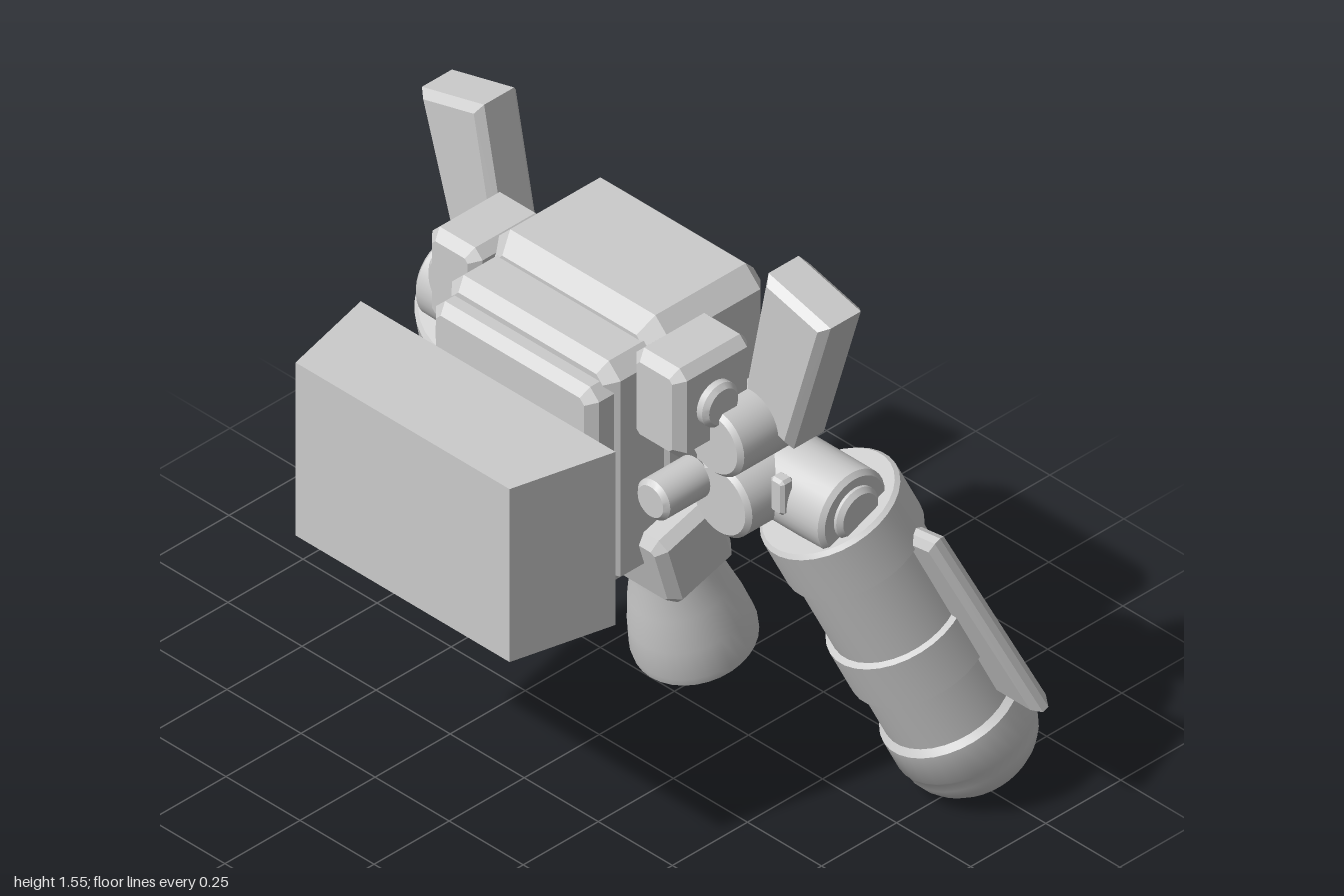
import * as THREE from 'three';
import { toCreasedNormals } from 'three/addons/utils/BufferGeometryUtils.js';

const grey = new THREE.MeshStandardMaterial({ color: 0xcccccc, side: THREE.DoubleSide });
grey.name = 'light grey';

// Extruded outline along z, centred, with a single chamfer kept inside the outline
function slab(points, depth, bevel) {
  const shape = new THREE.Shape(points.map(([x, y]) => new THREE.Vector2(x, y)));
  const g = new THREE.ExtrudeGeometry(shape, {
    depth: depth - 2 * bevel, bevelEnabled: bevel > 0, bevelSize: bevel,
    bevelThickness: bevel, bevelOffset: -bevel, bevelSegments: 1,
  });
  return g.translate(0, 0, -depth / 2 + bevel);
}

// Box with all edges chamfered
function block(w, h, d, b, c = b) {
  const x = w / 2, y = h / 2;
  return slab([[-x + c, -y], [x - c, -y], [x, -y + c], [x, y - c],
    [x - c, y], [-x + c, y], [-x, y - c], [-x, -y + c]], d, b);
}

function turned(profile, segments = 32) {
  const g = new THREE.LatheGeometry(profile.map(([r, y]) => new THREE.Vector2(r, y)), segments);
  return toCreasedNormals(g, 0.6);
}

// Cylinder with softened rims, centred, along the chosen axis
function drum(r, len, axis) {
  const b = Math.min(0.012, len / 4), h = len / 2;
  const g = turned([[0, -h], [r - b, -h], [r, -h + b], [r, h - b], [r - b, h], [0, h]]);
  if (axis === 'x') g.rotateZ(-Math.PI / 2);
  if (axis === 'z') g.rotateX(Math.PI / 2);
  return g;
}

// Mirror a geometry across x and restore its winding
function mirrored(source) {
  const g = source.index ? source.toNonIndexed() : source.clone();
  g.scale(-1, 1, 1);
  for (const attr of Object.values(g.attributes)) {
    const n = attr.itemSize, a = attr.array;
    for (let i = 0; i < attr.count; i += 3) {
      for (let k = 0; k < n; k++) {
        const p = (i + 1) * n + k, q = (i + 2) * n + k, t = a[p];
        a[p] = a[q];
        a[q] = t;
      }
    }
  }
  return g;
}

export function createModel() {
  const model = new THREE.Group();
  model.name = 'boosterPack';
  const add = (name, g) => {
    const mesh = new THREE.Mesh(g, grey);
    mesh.name = name;
    model.add(mesh);
  };
  const pair = (name, g) => {
    add(name + 'Left', g);
    add(name + 'Right', mirrored(g));
  };

  // Detached front block, narrower at the front
  const plate = new THREE.BoxGeometry(0.86, 0.505, 0.285).translate(0, 0.977, 0.5125);
  const pos = plate.attributes.position;
  for (let i = 0; i < pos.count; i++) if (pos.getZ(i) > 0.5) pos.setX(i, pos.getX(i) * 0.84);
  plate.computeVertexNormals();
  add('frontBlock', plate);

  // Main body and stepped front section
  add('body', block(0.59, 0.70, 0.39, 0.045, 0.05).translate(0, 1.025, -0.095));
  add('frontSection', block(0.57, 0.65, 0.22, 0.03, 0.04).translate(0, 0.995, 0.13));
  add('frontPanel', block(0.55, 0.60, 0.10, 0.025, 0.03).translate(0, 0.975, 0.247));

  // Rear disc, panel and its small pins
  add('rearDisc', drum(0.163, 0.08, 'z').translate(0, 1.105, -0.30));
  add('rearDiscCap', drum(0.115, 0.06, 'z').translate(0, 1.105, -0.346));
  add('rearPanel', slab([[-0.15, 0.73], [0.15, 0.73], [0.12, 1.0], [-0.12, 1.0]], 0.04, 0.01)
    .translate(0, 0, -0.29));
  for (const y of [0.76, 0.94]) pair('rearPin', drum(0.016, 0.05, 'z').translate(0.15, y, -0.295));

  // Shoulder blocks with round bosses
  pair('shoulder', block(0.17, 0.26, 0.25, 0.025, 0.025).translate(0.345, 1.21, 0.032));
  pair('shoulderBoss', drum(0.06, 0.06, 'x').translate(0.43, 1.21, 0.04));

  // Joints and short arms reaching out to the boosters
  pair('upperJoint', drum(0.093, 0.23, 'z').translate(0.44, 1.1, -0.06));
  pair('upperJointBack', drum(0.08, 0.06, 'z').translate(0.40, 1.1, -0.245));
  pair('lowerJoint', drum(0.10, 0.22, 'z').translate(0.435, 0.915, -0.08));
  pair('jointLink', block(0.10, 0.22, 0.14, 0.01).translate(0.36, 1.0, -0.08));
  pair('frontPeg', drum(0.055, 0.16, 'z').translate(0.35, 0.945, 0.095));
  pair('arm', drum(0.112, 0.24, 'x').translate(0.57, 0.91, -0.17));
  pair('armCap', drum(0.07, 0.06, 'x').translate(0.68, 0.915, -0.17));
  pair('armRib', block(0.045, 0.1, 0.04, 0.008).translate(0.55, 0.95, -0.065));

  // Upright wings
  pair('wing', slab([[0.40, 1.14], [0.565, 1.075], [0.69, 1.49], [0.48, 1.545]], 0.14, 0.02)
    .translate(0, 0, -0.14));

  // Tilted thrusters with hollow bells
  const tilt = g => g.rotateX(0.29).translate(0.235, 0.62, -0.01);
  pair('thrusterMount', tilt(block(0.25, 0.22, 0.22, 0.025).translate(0, 0.105, 0)));
  pair('thrusterBell', tilt(turned([[0, -0.08], [0.08, -0.08], [0.125, -0.2], [0.14, -0.272],
    [0.155, -0.272], [0.157, -0.25], [0.145, -0.17], [0.125, -0.08], [0.105, -0.01], [0.1, 0.02], [0, 0.02]])));

  // Boosters: banded cylinder with a domed lower end, leaning out and back
  const down = new THREE.Vector3(0.22, -0.907, -0.359).normalize();
  const out = new THREE.Vector3(1, 0, 0).addScaledVector(down, -down.x).normalize();
  const side = new THREE.Vector3().crossVectors(down, out);
  const lean = new THREE.Matrix4().makeBasis(out, down.clone().negate(), side)
    .setPosition(0.57, 0.87, -0.20);
  const R = 0.183, r = 0.167;
  const dome = [];
  for (let i = 0; i <= 8; i++) {
    const a = (i / 8) * Math.PI / 2;
    dome.push([0.177 * Math.sin(a), -0.8 - 0.14 * Math.cos(a)]);
  }
  const booster = turned([...dome, [R, -0.79], [R, -0.70], [r, -0.685], [r, -0.53], [R, -0.525],
    [R, -0.39], [r, -0.385], [r, -0.155], [R, -0.15], [R, -0.01], [R - 0.01, 0], [0, 0]]);
  pair('booster', booster.applyMatrix4(lean));

  // Fin along the outer side of each booster
  const fin = slab([[0.13, -0.66], [0.285, -0.692], [0.25, -0.12], [0.13, -0.12]], 0.055, 0.018)
    .translate(0, 0, -0.08);
  pair('boosterFin', fin.applyMatrix4(lean));

  return model;
}
